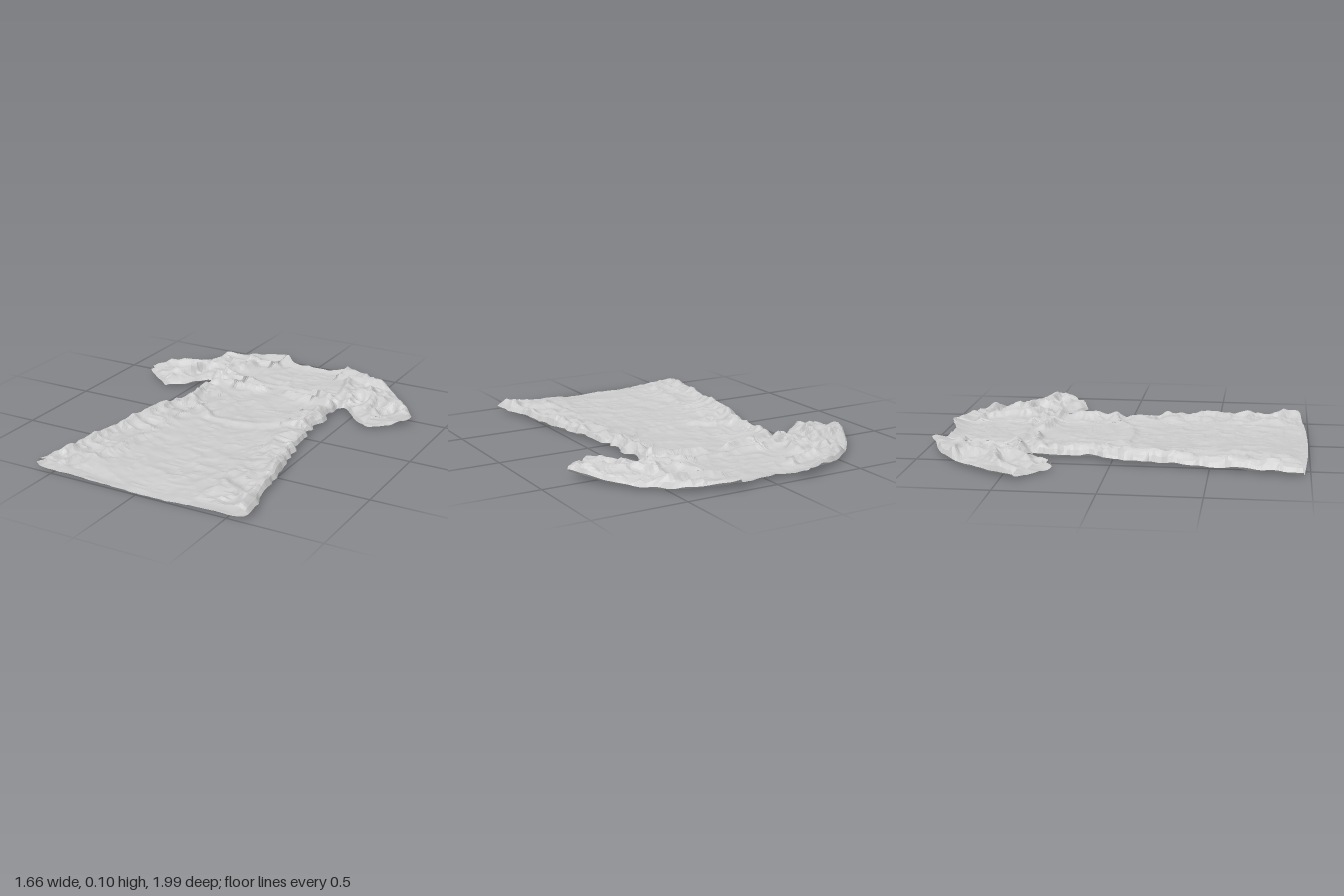
import * as THREE from 'three';

const { lerp, clamp, smoothstep } = THREE.MathUtils;
const material = new THREE.MeshStandardMaterial({ color: 0xcccccc, flatShading: true, side: THREE.DoubleSide });

// Piecewise linear profile through [position, value] pairs
function profile(points, p) {
  if (p <= points[0][0]) return points[0][1];
  for (let i = 1; i < points.length; i++) {
    const [a, va] = points[i - 1], [b, vb] = points[i];
    if (p <= b) return lerp(va, vb, (p - a) / (b - a));
  }
  return points[points.length - 1][1];
}

// Seeded value noise in 0..1
function hash(i, j) {
  const s = Math.sin(i * 127.1 + j * 311.7 + 5.3) * 43758.5453;
  return s - Math.floor(s);
}
function noise(x, z) {
  const i = Math.floor(x), j = Math.floor(z);
  const fx = smoothstep(x - i, 0, 1), fz = smoothstep(z - j, 0, 1);
  return lerp(lerp(hash(i, j), hash(i + 1, j), fx), lerp(hash(i, j + 1), hash(i + 1, j + 1), fx), fz);
}
const ridge = (x, z) => 1 - Math.abs(2 * noise(x, z) - 1);

// Main folds on one half: x1, z1, x2, z2, height
const folds = [
  [0.08, -0.44, 0.36, -0.39, 0.03], [0, -0.52, 0.22, -0.53, 0.012], [0.22, -0.53, 0.38, -0.45, 0.025],
  [0, 0.07, 0.16, 0.04, 0.012], [0.16, 0.04, 0.32, -0.08, 0.02], [0.2, -0.84, 0.5, -0.79, 0.025],
  [0.3, -0.78, 0.41, -0.52, 0.025], [0.45, -0.62, 0.76, -0.5, 0.025], [0.48, -0.72, 0.62, -0.4, 0.03],
  [0.43, 0.05, 0.47, 0.4, 0.022], [0.49, 0.45, 0.55, 0.92, 0.018], [0.33, 0.62, 0.36, 0.88, 0.012],
  [0.36, -0.3, 0.34, -0.05, 0.022],
];
function foldHeight(x, z) {
  let h = 0;
  const wx = Math.abs(x) + 0.05 * (noise(x * 9, z * 9) - 0.5), wz = z + 0.05 * (noise(x * 8 + 40, z * 8) - 0.5);
  for (const [x1, z1, x2, z2, height] of folds) {
    const dx = x2 - x1, dz = z2 - z1;
    const t = clamp(((wx - x1) * dx + (wz - z1) * dz) / (dx * dx + dz * dz), 0, 1);
    const d = Math.hypot(wx - x1 - t * dx, wz - z1 - t * dz);
    h = Math.max(h, height * Math.exp(-((d / 0.026) ** 2)));
  }
  return h;
}

// Cloth height at a point; edge is the distance to the nearest closed edge
function clothHeight(x, z, edge, isFront) {
  const ax = Math.abs(x);
  const full = Math.sqrt(Math.max(0, 1 - (1 - clamp(edge / 0.055, 0, 1)) ** 2));
  const lift = 0.028 * smoothstep(-z, 0.86, 1) + (x > 0 ? 0.028 : 0.006) * smoothstep(ax, 0.66, 0.84);
  const rim = 0.032 + 0.014 * (noise(x * 16, z * 16) - 0.5);
  if (!isFront) {
    const y = 0.009 + 0.01 * ridge(x * 8, z * 14) + 0.005 * noise(x * 30, z * 30);
    return lerp(rim, y, full) + lift;
  }
  // Crumpling is strongest on sleeves, waist sides and hem sides
  const sides = smoothstep(ax, 0.22, 0.42) * (1 - 0.55 * smoothstep(z, 0.2, 0.5));
  const rough = 0.009 + 0.022 * sides + 0.01 * smoothstep(ax, 0.4, 0.5) * smoothstep(z, 0.2, 0.5);
  const y = 0.036 + 0.01 * smoothstep(ax, 0.1, 0.4) - 0.008 * smoothstep(z, 0.8, 1)
    + rough * (ridge(x * 9 + z * 3 + 20, z * 11 - x * 2) + 0.5 * ridge(x * 21, z * 24) - 0.45)
    + foldHeight(x, z);
  return lerp(rim, y, full) + lift;
}

// Grid surface from point(u, v); flip reverses the facing
function sheet(name, cols, rows, point, flip) {
  const positions = [], index = [];
  for (let j = 0; j <= rows; j++) for (let i = 0; i <= cols; i++) positions.push(...point(i / cols, j / rows));
  for (let j = 0; j < rows; j++) for (let i = 0; i < cols; i++) {
    const a = j * (cols + 1) + i, b = a + 1, c = a + cols + 1, d = c + 1;
    index.push(...(flip ? [a, b, c, b, d, c] : [a, c, b, b, c, d]));
  }
  const geometry = new THREE.BufferGeometry();
  geometry.setAttribute('position', new THREE.Float32BufferAttribute(positions, 3));
  geometry.setIndex(index);
  geometry.computeVertexNormals();
  const mesh = new THREE.Mesh(geometry, material);
  mesh.name = name;
  return mesh;
}

// Half widths along z, for the wearer's left (+x) and right (-x)
const widthLeft = [[-0.95, 0.3], [-0.42, 0.395], [-0.2, 0.405], [-0.05, 0.4], [0.05, 0.43], [0.2, 0.45],
  [0.4, 0.495], [0.6, 0.53], [0.78, 0.555], [0.84, 0.585], [0.96, 0.6]];
const widthRight = [[-0.95, 0.3], [-0.42, 0.395], [-0.2, 0.405], [-0.08, 0.41], [0.06, 0.485], [0.2, 0.49],
  [0.4, 0.525], [0.6, 0.55], [0.8, 0.58], [0.97, 0.61]];
// Neck and shoulder line from centre to sleeve seam
const frontTop = [[0, -0.84], [0.2, -0.845], [0.5, -0.865], [0.6, -0.9], [0.65, -0.99], [1, -0.95]];
const backTop = [[0, -0.935], [0.3, -0.938], [0.5, -0.96], [0.65, -0.99], [1, -0.95]];
const slit = [[-0.85, 0.026], [-0.74, 0.014], [-0.56, 0.01], [-0.53, 0]];

function bodyHalf(side, isFront) {
  const width = side > 0 ? widthLeft : widthRight;
  const top = isFront ? frontTop : backTop;
  const point = (u, v) => {
    const z0 = profile(top, u) + (u > 0.6 && u < 1 ? -0.01 * side * -1 * (1 - u) * 2 : 0);
    const z = lerp(z0, isFront ? 0.968 - 0.008 * u : 0.995 - 0.03 * u * u, v);
    const inner = isFront ? profile(slit, z) : 0;
    const crumple = smoothstep(z, -0.42, -0.3) * (1 - 0.6 * smoothstep(z, 0.2, 0.5));
    const outer = profile(width, z) + 0.03 * crumple * (noise(z * 24, side * 7) - 0.5);
    const x = side * lerp(inner, outer, u) - (isFront ? 0.01 * (1 - u) * smoothstep(-z, 0.4, 0.55) : 0);
    const toSide = (1 - u) * outer + Math.max(0, -0.42 - z);
    const toShoulder = z - z0 + Math.max(0, 0.65 - u) * 0.6;
    return [x, clothHeight(x, z, Math.min(toSide, toShoulder), isFront), z];
  };
  const name = (isFront ? 'front' : 'back') + (side > 0 ? 'LeftPanel' : 'RightPanel');
  return sheet(name, 38, 120, point, (side > 0) !== isFront);
}

// Sleeve edges from the shoulder seam to the cuff
const curve = (pts) => new THREE.CatmullRomCurve3(pts.map(([x, z]) => new THREE.Vector3(x, 0, z)));
const sleeveOuter = curve([[0.3, -0.95], [0.42, -0.9], [0.56, -0.8], [0.69, -0.65], [0.77, -0.53], [0.83, -0.43]]);
const sleeveInner = curve([[0.395, -0.42], [0.43, -0.44], [0.49, -0.39], [0.55, -0.32], [0.62, -0.275]]);

function sleeve(side, isFront) {
  const point = (s, t) => {
    const a = sleeveOuter.getPoint(s), b = sleeveInner.getPoint(s);
    const p = a.clone().lerp(b, t);
    const edge = Math.min(t, 1 - t) * a.distanceTo(b);
    const x = side * p.x;
    return [x, clothHeight(x, p.z, edge, isFront), p.z];
  };
  const name = (side > 0 ? 'left' : 'right') + 'Sleeve' + (isFront ? 'Front' : 'Back');
  return sheet(name, 32, 32, point, (side > 0) !== isFront);
}

export function createModel() {
  const dress = new THREE.Group();
  dress.name = 'dress';
  for (const side of [1, -1]) for (const isFront of [true, false]) {
    dress.add(bodyHalf(side, isFront), sleeve(side, isFront));
  }
  // Rest the cloth on the ground
  const box = new THREE.Box3().setFromObject(dress);
  dress.children.forEach((mesh) => mesh.geometry.translate(0, -box.min.y, 0));
  return dress;
}
